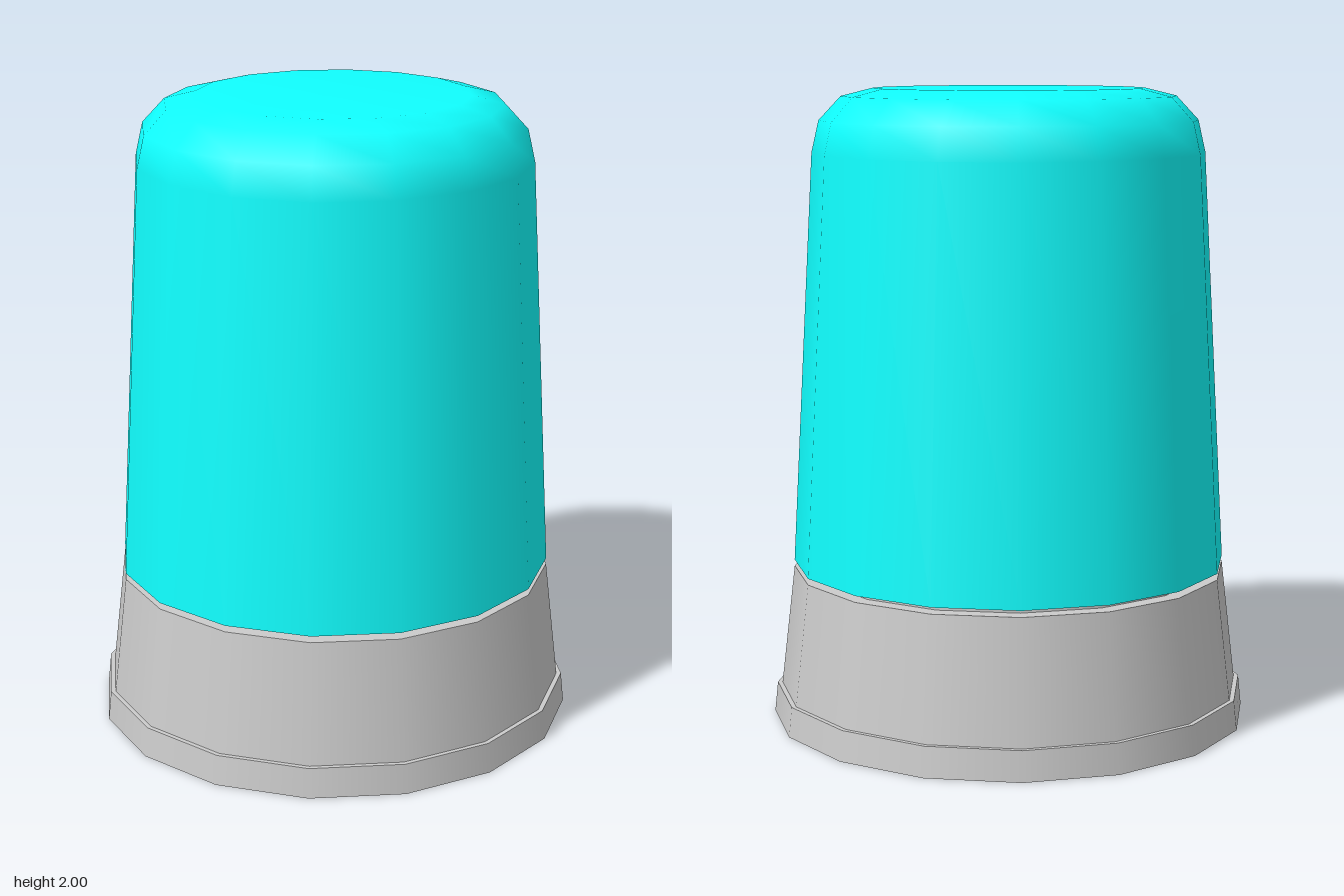
import * as THREE from 'three';
import { mergeGeometries } from 'three/addons/utils/BufferGeometryUtils.js';

const SIDES = 16;

// Each run of [radius, y] points is smooth; edges between runs stay sharp.
function turned(name, runs, material) {
  const parts = runs.map((run) =>
    new THREE.LatheGeometry(run.map(([r, y]) => new THREE.Vector2(r, y)), SIDES));
  const mesh = new THREE.Mesh(mergeGeometries(parts), material);
  mesh.name = name;
  return mesh;
}

export function createModel() {
  const grey = new THREE.MeshStandardMaterial({ color: 0xcccccc });
  const cyan = new THREE.MeshStandardMaterial({ color: 0x10ffff });
  const group = new THREE.Group();
  group.name = 'beacon';

  // Closed base foot with a narrow ledge
  group.add(turned('baseFlange', [
    [[0, 0], [0.76, 0]],
    [[0.76, 0], [0.75, 0.095]],
    [[0.75, 0.095], [0.73, 0.095]],
  ], grey));

  // Tapered housing
  group.add(turned('baseHousing', [
    [[0.735, 0.095], [0.69, 0.48]],
    [[0.69, 0.48], [0.64, 0.48]],
  ], grey));

  // Recessed neck forming the thin gap under the lens
  group.add(turned('neck', [[[0.64, 0.48], [0.64, 0.5]]], grey));

  // Lens with a rounded shoulder and flat top
  group.add(turned('lens', [
    [[0.64, 0.5], [0.69, 0.5]],
    [[0.69, 0.5], [0.618, 1.8], [0.595, 1.9], [0.525, 1.975], [0.425, 2], [0, 2]],
  ], cyan));

  return group;
}
